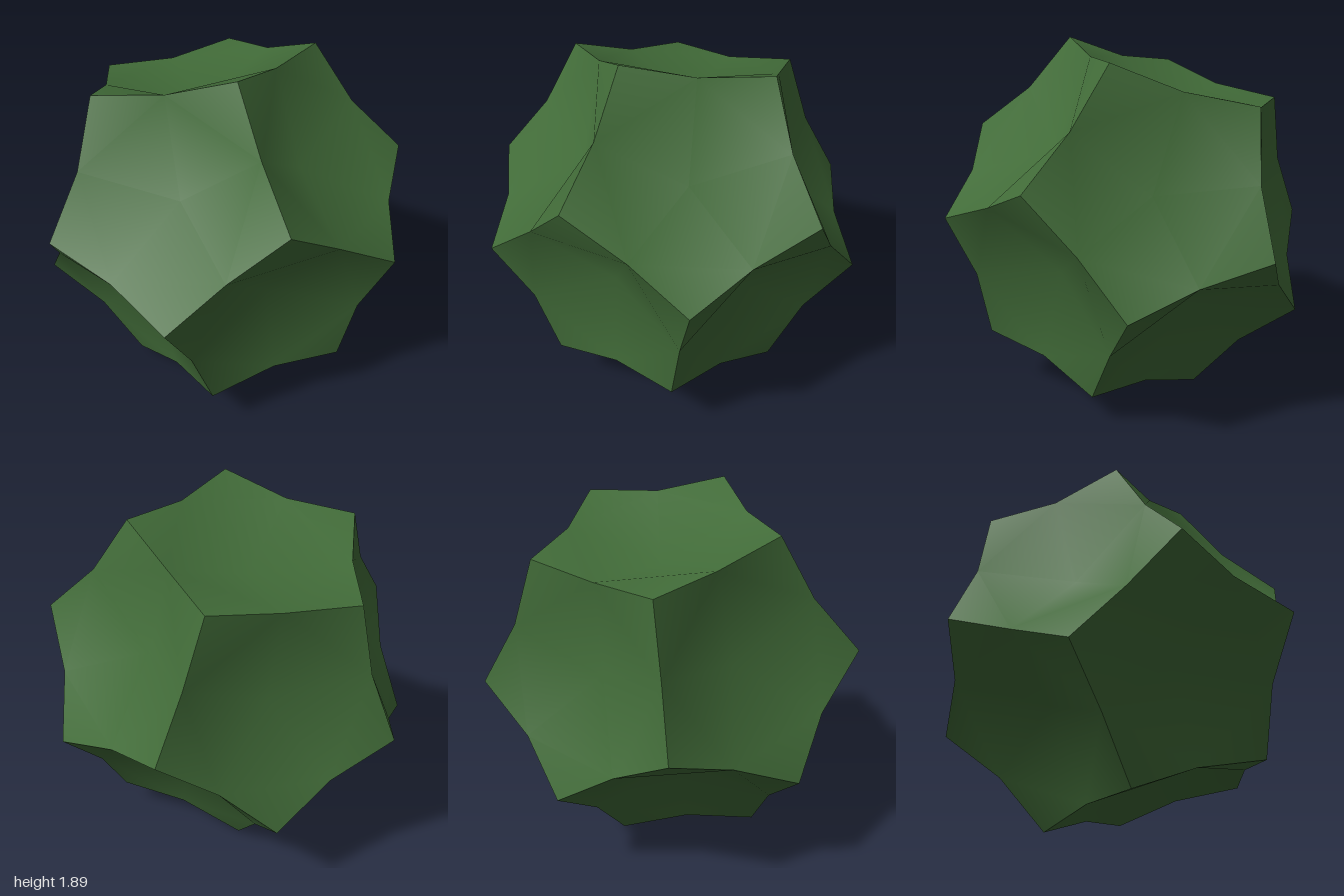
import * as THREE from 'three';

const PHI = (1 + Math.sqrt(5)) / 2;
const SCALE = 0.588;        // half edge of the inscribed cube
const EDGE_PULL = 0.957;    // edge midpoints drawn towards the centre
const CENTRE_RADIUS = 0.6;  // distance of each dent's deepest point from the middle

// All sign variants of (a, b, c) and its cyclic permutations
function cyclic(a, b, c) {
  const out = [];
  const signs = (v) => (v === 0 ? [0] : [v, -v]);
  for (const x of signs(a)) for (const y of signs(b)) for (const z of signs(c)) {
    out.push(new THREE.Vector3(x, y, z), new THREE.Vector3(z, x, y), new THREE.Vector3(y, z, x));
  }
  return out;
}

// One dented pentagon: corners, edge midpoints and a sunken centre, smooth inside
function dentedFace(normal, corners) {
  const u = corners[0].clone().addScaledVector(normal, -corners[0].dot(normal)).normalize();
  const v = normal.clone().cross(u);
  const angle = (p) => Math.atan2(p.dot(v), p.dot(u));
  const ring = [...corners].sort((a, b) => angle(a) - angle(b));
  const mids = ring.map((p, i) => p.clone().add(ring[(i + 1) % 5]).multiplyScalar(0.5 * EDGE_PULL));
  const points = [...ring, ...mids, normal.clone().multiplyScalar(CENTRE_RADIUS)];
  const index = [];
  for (let i = 0; i < 5; i++) {
    const before = 5 + ((i + 4) % 5), after = 5 + i;
    index.push(i, after, before, 10, before, after);
  }
  const geometry = new THREE.BufferGeometry().setFromPoints(points);
  geometry.setIndex(index);
  geometry.computeVertexNormals();
  return geometry;
}

export function createModel() {
  const group = new THREE.Group();
  group.name = 'dentedDodecahedron';
  const green = new THREE.MeshStandardMaterial({ color: 0x416b38 });
  green.name = 'forest green';

  // Tilt of the whole solid
  const x = new THREE.Vector3(0.952, 0.28, 0.1275).normalize();
  const z = x.clone().cross(new THREE.Vector3(-0.164, 0.808, -0.566)).normalize();
  const y = z.clone().cross(x);
  const tilt = new THREE.Matrix4().makeBasis(x, y, z);

  // Twenty corners: a cube plus three golden rectangles
  const corners = cyclic(0, 1 / PHI, PHI);
  for (const a of [1, -1]) for (const b of [1, -1]) for (const c of [1, -1]) {
    corners.push(new THREE.Vector3(a, b, c));
  }
  corners.forEach((p) => p.multiplyScalar(SCALE).applyMatrix4(tilt));

  // Twelve faces, each taking its five nearest corners
  cyclic(1, 0, PHI).forEach((n, i) => {
    n.normalize().applyMatrix4(tilt);
    const five = [...corners].sort((a, b) => b.dot(n) - a.dot(n)).slice(0, 5);
    const face = new THREE.Mesh(dentedFace(n, five), green);
    face.name = `dentedFace${i + 1}`;
    face.position.y = 0.945;
    group.add(face);
  });
  return group;
}
